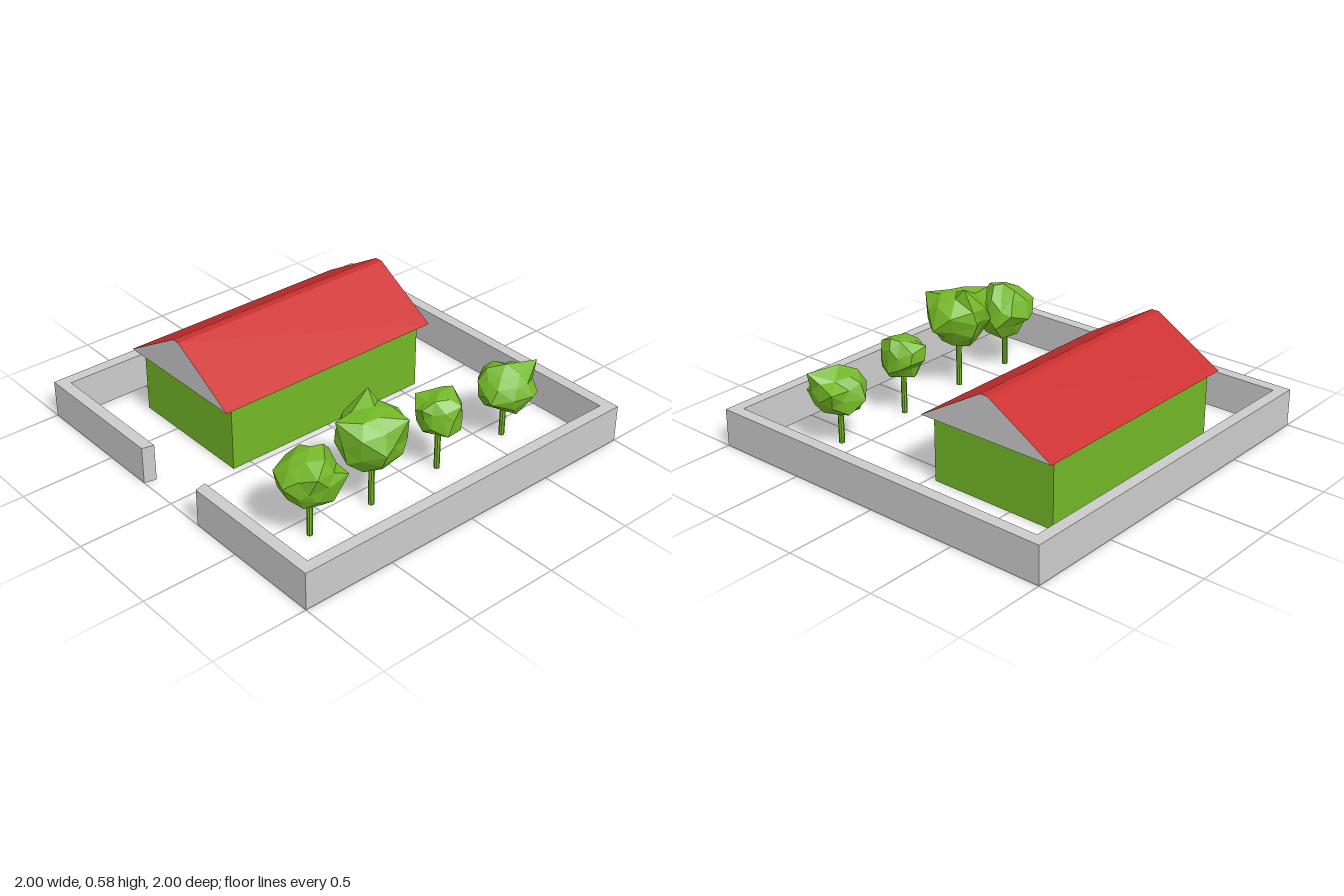
import * as THREE from 'three';
import { mergeVertices } from 'three/addons/utils/BufferGeometryUtils.js';

const mat = (color) => new THREE.MeshStandardMaterial({ color, flatShading: true });
const grey = mat(0xcccccc);
const green = mat(0x73b727);
const red = mat(0xcc3030);

function add(parent, name, geometry, material) {
  const mesh = new THREE.Mesh(geometry, material);
  mesh.name = name;
  parent.add(mesh);
  return mesh;
}

function seeded(seed) {
  return () => {
    seed = (seed * 16807) % 2147483647;
    return seed / 2147483647;
  };
}

// Yard wall: one outline with a splayed gateway in the front side
function makeWall() {
  const o = 1, i = 0.938;
  const outline = [
    [-0.22, o], [-o, o], [-o, -o], [o, -o], [o, o], [0.215, o],
    [0.2, i], [i, i], [i, -i], [-i, -i], [-i, i], [-0.205, i],
  ].map(([x, z]) => new THREE.Vector2(x, -z));
  return new THREE.ExtrudeGeometry(new THREE.Shape(outline), { depth: 0.2, bevelEnabled: false })
    .rotateX(-Math.PI / 2);
}

// House: box body with a flat-ridged gable roof overhanging all round
function makeHouse() {
  const house = new THREE.Group();
  house.name = 'house';
  const body = add(house, 'houseBody', new THREE.BoxGeometry(0.72, 0.358, 1.204),
    [green, green, grey, grey, green, green]);
  body.position.set(-0.395, 0.179, 0);

  const zMax = 0.655;
  const profile = [[-0.785, 0.36], [0, 0.36], [-0.37, 0.58], [-0.415, 0.58]];
  const names = ['roofUnderside', 'roofLeftSlope', 'roofRidge', 'roofRightSlope'];
  profile.forEach(([ax, ay], k) => {
    const [bx, by] = profile[(k + 1) % profile.length];
    const panel = new THREE.PlaneGeometry(Math.hypot(bx - ax, by - ay), zMax * 2)
      .rotateX(Math.PI / 2)
      .rotateZ(Math.atan2(by - ay, bx - ax))
      .translate((ax + bx) / 2, (ay + by) / 2, 0);
    add(house, names[k], panel, k === 0 ? grey : red);
  });
  const gable = new THREE.Shape(profile.map(([x, y]) => new THREE.Vector2(x, y)));
  add(house, 'frontGable', new THREE.ShapeGeometry(gable), grey).position.z = zMax;
  const back = new THREE.Shape(profile.map(([x, y]) => new THREE.Vector2(-x, y)));
  const backGable = add(house, 'backGable', new THREE.ShapeGeometry(back), grey);
  backGable.rotation.y = Math.PI;
  backGable.position.z = -zMax;
  return house;
}

// Canopy: faceted ball with uneven vertices; the nearest ones are pulled out to the tips
function makeCanopy({ centre, radii, seed, tips }) {
  const random = seeded(seed);
  let geometry = new THREE.IcosahedronGeometry(1, 1);
  geometry.deleteAttribute('uv');
  geometry.deleteAttribute('normal');
  geometry = mergeVertices(geometry, 1e-4);
  const pos = geometry.attributes.position;
  const v = new THREE.Vector3();
  const c = new THREE.Vector3(...centre);
  const r = new THREE.Vector3(...radii);
  for (let i = 0; i < pos.count; i++) {
    v.fromBufferAttribute(pos, i);
    v.x += (random() - 0.5) * 0.22;
    v.y += (random() - 0.5) * 0.22;
    v.z += (random() - 0.5) * 0.22;
    v.multiplyScalar(0.84 + random() * 0.17).multiply(r).add(c);
    pos.setXYZ(i, v.x, v.y, v.z);
  }
  for (const tip of tips) {
    const t = new THREE.Vector3(...tip);
    let best = 0, bestDistance = Infinity;
    for (let i = 0; i < pos.count; i++) {
      const d = v.fromBufferAttribute(pos, i).distanceTo(t);
      if (d < bestDistance) { bestDistance = d; best = i; }
    }
    pos.setXYZ(best, ...tip);
  }
  geometry.computeVertexNormals();
  return geometry;
}

const trees = [
  { centre: [0.605, 0.33, 0.65], radii: [0.16, 0.16, 0.17], seed: 11,
    tips: [[0.62, 0.34, 0.82], [0.62, 0.48, 0.58], [0.75, 0.37, 0.54], [0.45, 0.3, 0.67]] },
  { centre: [0.61, 0.4, 0.28], radii: [0.175, 0.18, 0.185], seed: 23,
    tips: [[0.57, 0.52, 0.47], [0.52, 0.585, 0.23], [0.61, 0.37, 0.08],
      [0.78, 0.38, 0.34], [0.77, 0.52, 0.2], [0.44, 0.4, 0.24]] },
  { centre: [0.595, 0.32, -0.16], radii: [0.125, 0.125, 0.125], seed: 37,
    tips: [[0.6, 0.44, -0.24], [0.47, 0.32, -0.13], [0.71, 0.33, -0.15], [0.6, 0.38, -0.04]] },
  { centre: [0.595, 0.28, -0.61], radii: [0.15, 0.135, 0.15], seed: 53,
    tips: [[0.66, 0.41, -0.76], [0.5, 0.33, -0.75], [0.75, 0.28, -0.65],
      [0.44, 0.27, -0.58], [0.65, 0.26, -0.46]] },
];

export function createModel() {
  const model = new THREE.Group();
  model.name = 'houseWithYard';
  add(model, 'yardWall', makeWall(), grey);
  model.add(makeHouse());

  trees.forEach((spec, k) => {
    const tree = new THREE.Group();
    tree.name = `tree${k + 1}`;
    const [x, y, z] = spec.centre;
    add(tree, 'trunk', new THREE.CylinderGeometry(0.015, 0.015, y, 8), green).position.set(x, y / 2, z);
    add(tree, 'canopy', makeCanopy(spec), green);
    model.add(tree);
  });
  return model;
}
